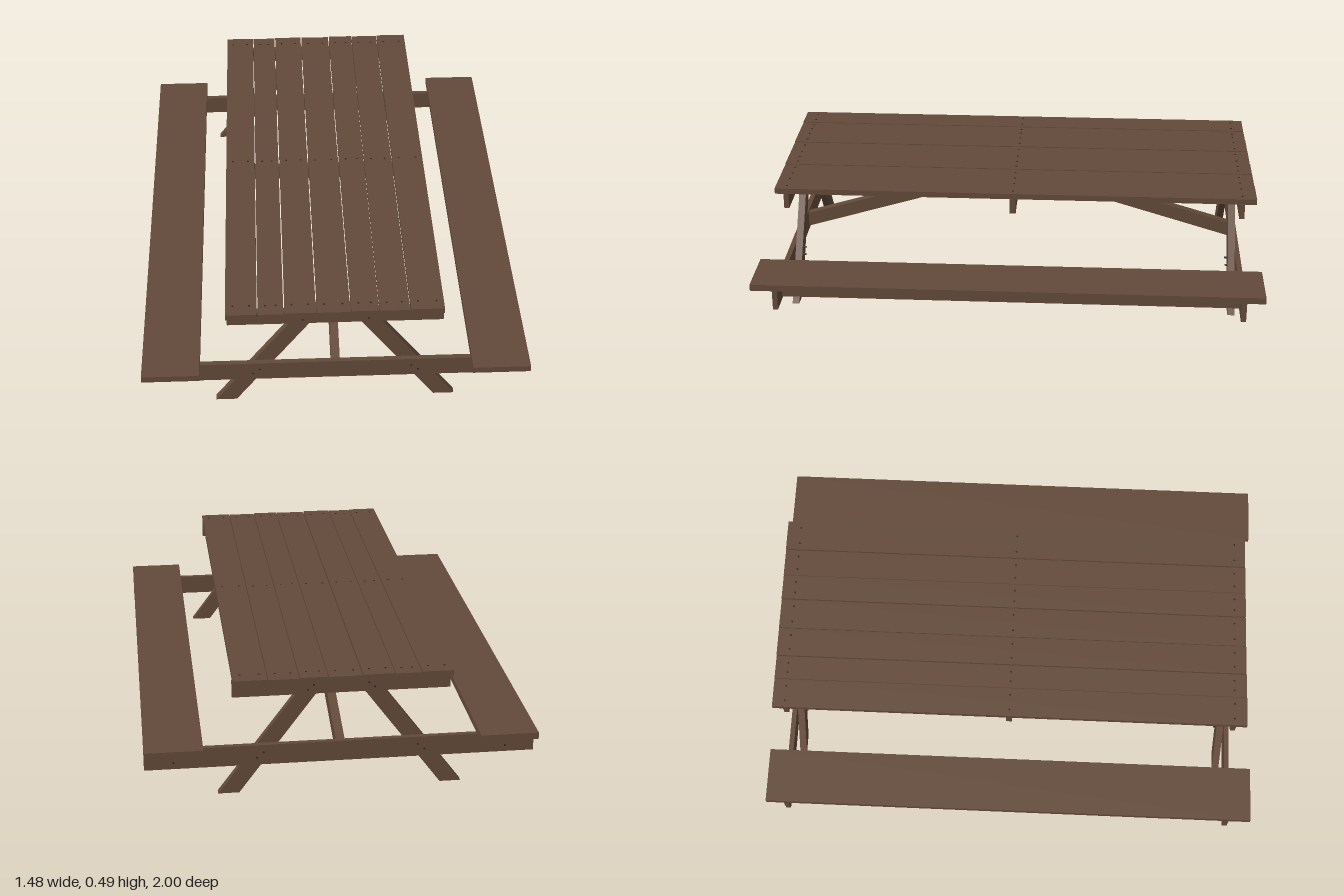
import * as THREE from 'three';

const wood = new THREE.MeshStandardMaterial({ color: 0x634a3a });
wood.name = 'brown wood';
const iron = new THREE.MeshStandardMaterial({ color: 0x33261e });
iron.name = 'dark iron';

export function createModel() {
  const model = new THREE.Group();
  model.name = 'picnicTable';

  const add = (name, geometry, material = wood) => {
    const mesh = new THREE.Mesh(geometry, material);
    mesh.name = name;
    model.add(mesh);
    return mesh;
  };

  // Board given by its limits on each axis
  const board = (name, x0, x1, y0, y1, z0, z1) =>
    add(name, new THREE.BoxGeometry(x1 - x0, y1 - y0, z1 - z0))
      .position.set((x0 + x1) / 2, (y0 + y1) / 2, (z0 + z1) / 2);

  // Flat outline in x and y, extruded along z
  const slab = (points, depth) => new THREE.ExtrudeGeometry(
    new THREE.Shape(points.map(([x, y]) => new THREE.Vector2(x, y))),
    { depth, bevelEnabled: false });

  // Small round fastener; axis is 'y' or 'z'
  const stud = (name, x, y, z, axis, radius, length) => {
    const mesh = add(name, new THREE.CylinderGeometry(radius, radius, length, 8), iron);
    mesh.position.set(x, y, z);
    if (axis === 'z') mesh.rotation.x = Math.PI / 2;
  };

  const midZ = -0.007;
  const nailRows = [-0.918, midZ, 0.904];

  // Tabletop planks, with slightly uneven ends and heights
  const planks = [
    [-0.414, -0.296], [-0.293, -0.197], [-0.193, -0.076], [-0.072, 0.052],
    [0.056, 0.159], [0.162, 0.275], [0.279, 0.405],
  ];
  planks.forEach(([x0, x1], i) => {
    const top = 0.49 - (i % 2) * 0.002;
    board('tabletopPlank', x0, x1, 0.467, top, -0.968 - i * 0.001, 0.955 - i * 0.001);
    for (const z of nailRows)
      for (const x of [x0 + 0.028, x1 - 0.028])
        stud('plankNail', x, top, z, 'y', 0.004, 0.003);
  });

  // Cleat under the middle of the tabletop
  board('middleCleat', -0.41, 0.407, 0.405, 0.467, midZ - 0.012, midZ + 0.012);

  // Seats, each with a stiffening board along its middle
  for (const side of [-1, 1]) {
    const range = (a, b) => (side > 0 ? [a, b] : [-b, -a]);
    board('seat', ...range(0.52, 0.74), 0.204, 0.23, -1, 1);
    board('seatStiffener', ...range(0.619, 0.641), 0.129, 0.204, -0.908, 0.894);
  }

  // The two end frames
  for (const end of [-1, 1]) {
    const at = (d) => midZ + end * d;
    const zRange = (a, b) => [Math.min(at(a), at(b)), Math.max(at(a), at(b))];
    board('seatBeam', -0.74, 0.74, 0.124, 0.204, ...zRange(0.901, 0.921));
    board('endCleat', -0.41, 0.407, 0.405, 0.467, ...zRange(0.901, 0.921));

    for (const side of [-1, 1]) {
      // Splayed leg on the inner face of the beam and cleat
      const outline = [[0.465, 0], [0.385, 0], [0.04, 0.467], [0.117, 0.467]]
        .map(([x, y]) => [x * side, y]);
      add('leg', slab(outline, 0.028)).position.z = zRange(0.873, 0.901)[0];

      // Bolts through the leg joints, and nails into the stiffener
      for (const [x, y] of [[0.125, 0.422], [0.103, 0.44], [0.318, 0.153], [0.292, 0.174]])
        stud('legBolt', x * side, y, at(0.892), 'z', 0.004, 0.061);
      for (const y of [0.15, 0.18])
        stud('beamNail', 0.63 * side, y, at(0.921), 'z', 0.004, 0.003);
    }

    // Diagonal brace from the seat beam up to the middle cleat
    const brace = slab([[0, 0.408], [0.901, 0.137], [0.901, 0.197], [0, 0.465]], 0.034);
    brace.translate(0, 0, -0.017);
    const mesh = add('diagonalBrace', brace);
    mesh.rotation.y = -end * Math.PI / 2;
    mesh.position.z = midZ;
  }
  return model;
}
